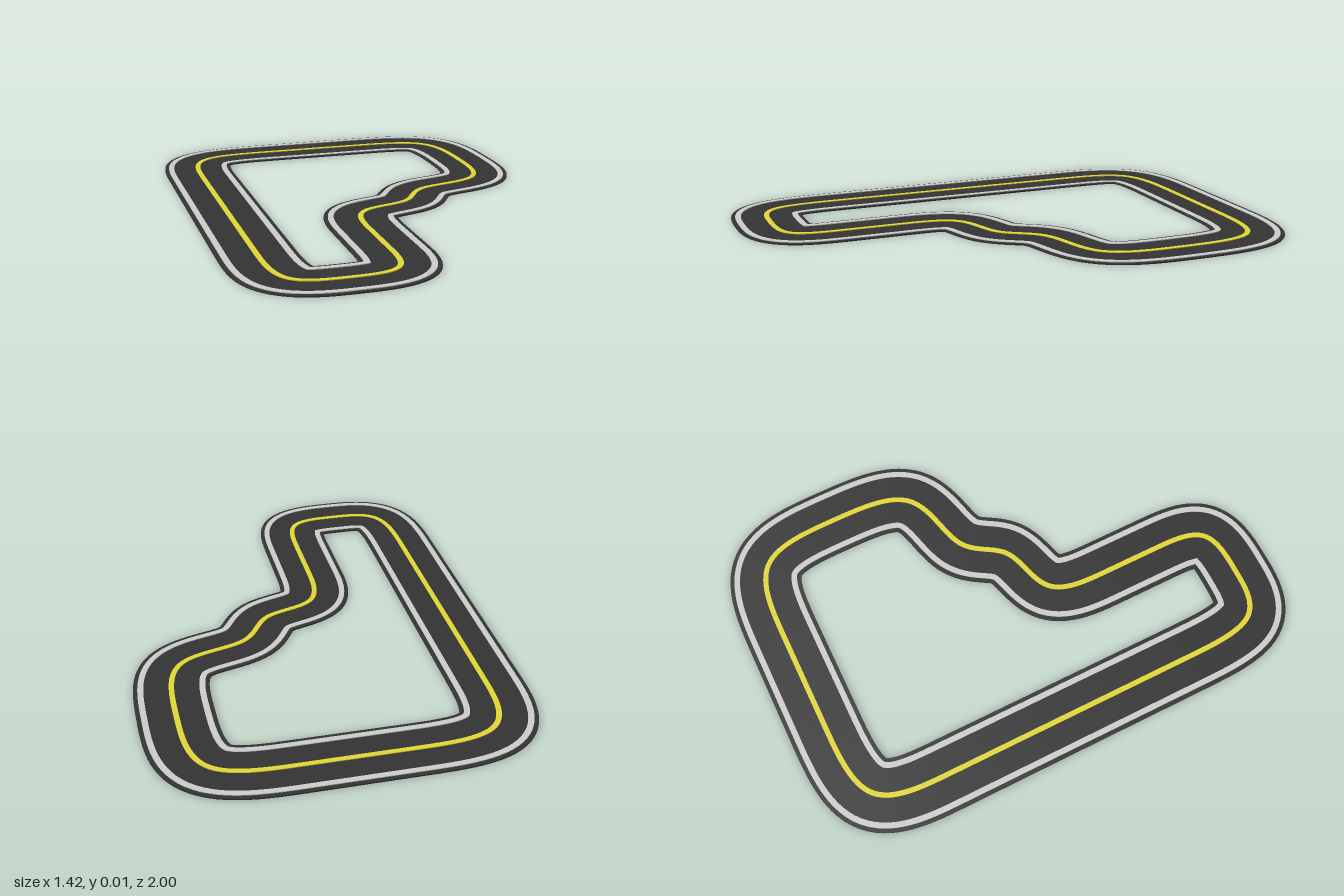
import * as THREE from 'three';
import { toCreasedNormals } from 'three/addons/utils/BufferGeometryUtils.js';

// Control points (x, z) of the closed centre line, clockwise seen from above
const CONTROL = [
  [-0.57, -0.86], [-0.2, -0.86], [0.2, -0.86], [0.57, -0.86],
  [0.57, -0.487], [0.57, -0.115],
  [0.2, -0.115], [0.17, 0.115], [-0.115, 0.115],
  [-0.115, 0.4], [-0.115, 0.61], [-0.115, 0.857],
  [-0.34, 0.857], [-0.57, 0.857],
  [-0.57, 0.51], [-0.57, 0.17], [-0.57, -0.17], [-0.57, -0.51],
];
const STEPS = 16;

// Samples the uniform cubic B-spline: position and sideways normal (to the inside)
function sampleCentreLine() {
  const samples = [];
  const n = CONTROL.length;
  for (let i = 0; i < n; i++) {
    const p = [-1, 0, 1, 2].map((k) => CONTROL[(i + k + n) % n]);
    for (let s = 0; s < STEPS; s++) {
      const t = s / STEPS, u = 1 - t;
      const b = [u ** 3, 3 * t ** 3 - 6 * t * t + 4, -3 * t ** 3 + 3 * t * t + 3 * t + 1, t ** 3];
      const d = [-u * u, 3 * t * t - 4 * t, -3 * t * t + 2 * t + 1, t * t];
      const mix = (w, axis) => p.reduce((sum, q, k) => sum + w[k] * q[axis], 0);
      const tx = mix(d, 0), tz = mix(d, 1), len = Math.hypot(tx, tz);
      samples.push({ x: mix(b, 0) / 6, z: mix(b, 1) / 6, nx: -tz / len, nz: tx / len });
    }
  }
  return samples;
}

// Sweeps a flat rectangular section along the centre line
function sweepBand(samples, offset, width, bottom, top) {
  const a = offset - width / 2, b = offset + width / 2;
  const section = [[a, top], [b, top], [b, bottom], [a, bottom]];
  const positions = [], index = [];
  const count = samples.length;
  samples.forEach((c, i) => {
    section.forEach(([side, y], k) => {
      positions.push(c.x + c.nx * side, y, c.z + c.nz * side);
      const next = ((i + 1) % count) * 4, k2 = (k + 1) % 4;
      const p0 = i * 4 + k, p1 = i * 4 + k2, q0 = next + k, q1 = next + k2;
      index.push(p0, p1, q0, p1, q1, q0);
    });
  });
  const geometry = new THREE.BufferGeometry();
  geometry.setAttribute('position', new THREE.Float32BufferAttribute(positions, 3));
  geometry.setIndex(index);
  return toCreasedNormals(geometry, Math.PI / 5);
}

export function createModel() {
  const group = new THREE.Group();
  group.name = 'raceTrack';
  const samples = sampleCentreLine();
  const asphalt = new THREE.MeshStandardMaterial({ color: 0x333333 });
  const grey = new THREE.MeshStandardMaterial({ color: 0xcccccc });
  const yellow = new THREE.MeshStandardMaterial({ color: 0xe0d535 });

  const addBand = (name, material, offset, width, bottom, top) => {
    const mesh = new THREE.Mesh(sweepBand(samples, offset, width, bottom, top), material);
    mesh.name = name;
    group.add(mesh);
  };

  // Road slab and its painted lines
  addBand('roadSurface', asphalt, 0, 0.28, 0, 0.005);
  addBand('centreLine', yellow, 0, 0.02, 0.003, 0.008);
  addBand('outerEdgeLine', grey, -0.113, 0.022, 0.003, 0.008);
  addBand('innerEdgeLine', grey, 0.113, 0.022, 0.003, 0.008);
  return group;
}
